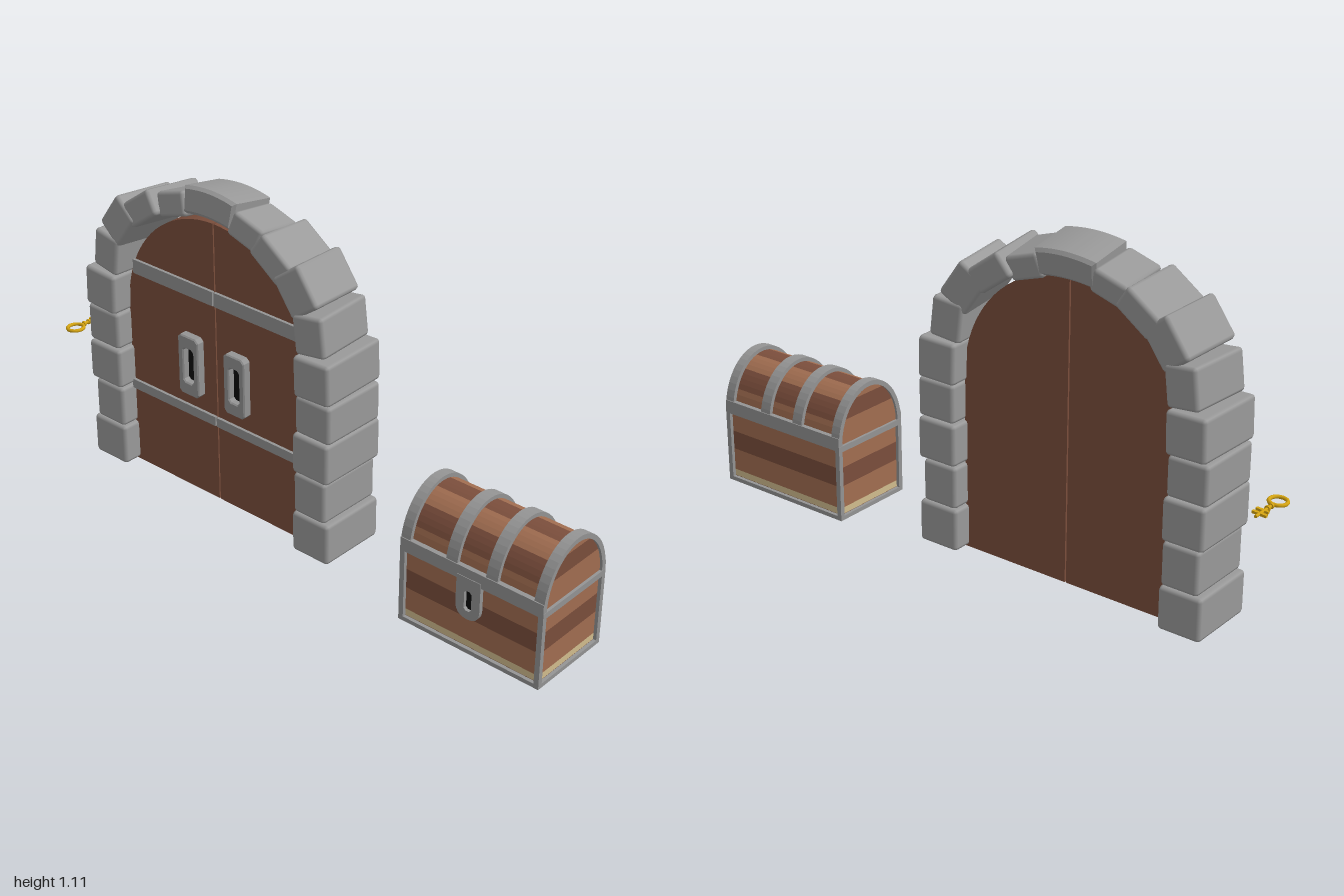
import * as THREE from 'three';
import { RoundedBoxGeometry } from 'three/addons/geometries/RoundedBoxGeometry.js';

const material = (name, color) => {
  const m = new THREE.MeshStandardMaterial({ color });
  m.name = name;
  return m;
};

export function createModel() {
  const root = new THREE.Group();
  root.name = 'dungeonSet';
  const stone = material('stone grey', 0x9a9a9a);
  const metal = material('iron grey', 0x949494);
  const doorWood = material('dark wood', 0x7b4e3c);
  const lightWood = material('light wood', 0xa26e51);
  const cream = material('pale wood', 0xd2bd8e);
  const black = material('black', 0x0c0c0c);
  const gold = material('gold', 0xd6a512);

  const group = (name) => {
    const g = new THREE.Group();
    g.name = name;
    root.add(g);
    return g;
  };
  const add = (parent, name, geo, mat, x = 0, y = 0, z = 0) => {
    const m = new THREE.Mesh(geo, mat);
    m.name = name;
    m.position.set(x, y, z);
    parent.add(m);
    return m;
  };
  const box = (parent, name, mat, w, h, d, x, y, z) =>
    add(parent, name, new THREE.BoxGeometry(w, h, d), mat, x, y, z);
  const extrude = (shape, depth, bevel = 0) =>
    new THREE.ExtrudeGeometry(shape, {
      depth, bevelEnabled: bevel > 0, bevelSize: bevel, bevelThickness: bevel,
      bevelOffset: -bevel, bevelSegments: 1, curveSegments: 16,
    });
  const polygon = (pts) => new THREE.Shape(pts.map(([x, y]) => new THREE.Vector2(x, y)));
  const roundRect = (w, h, c) => polygon([
    [-w / 2 + c, -h / 2], [w / 2 - c, -h / 2], [w / 2, -h / 2 + c], [w / 2, h / 2 - c],
    [w / 2 - c, h / 2], [-w / 2 + c, h / 2], [-w / 2, h / 2 - c], [-w / 2, -h / 2 + c]]);

  // Stone arch: offset from centre, height, radial size, tangent size, depth, lean, flare
  const cx = -0.337;
  const arch = group('stoneArch');
  const blocks = [
    [0.445, 0.095, 0.145, 0.14, 0.24, 0, 0],
    [0.44, 0.237, 0.125, 0.14, 0.235, 0, 0],
    [0.447, 0.38, 0.14, 0.137, 0.247, 0, 0],
    [0.452, 0.514, 0.135, 0.127, 0.235, 0, 0],
    [0.448, 0.648, 0.135, 0.135, 0.25, 0.03, 0.03],
    [0.423, 0.783, 0.11, 0.13, 0.222, 0.12, 0.07],
    [0.365, 0.9, 0.11, 0.14, 0.215, 0.62, 0.11],
    [0.267, 0.968, 0.085, 0.14, 0.21, 0.95, 0.11],
    [0.15, 1.01, 0.08, 0.12, 0.168, 1.27, 0.16],
  ];
  for (const s of [-1, 1]) {
    for (const [dx, y, w, h, d, lean, flare] of blocks) {
      const b = add(arch, 'archStone', new RoundedBoxGeometry(w, h, d, 1, 0.012), stone, cx + s * dx, y, 0);
      b.rotation.set(0, s * flare, s * lean, 'ZYX');
    }
  }
  // Keystone with a slightly curved top and bottom
  const key = new THREE.Shape();
  key.moveTo(-0.1, -0.05);
  key.quadraticCurveTo(0, -0.03, 0.1, -0.05);
  key.lineTo(0.107, 0.036);
  key.quadraticCurveTo(0, 0.06, -0.107, 0.036);
  const keyGeo = extrude(key, 0.146, 0.01);
  keyGeo.translate(0, 0, -0.073);
  add(arch, 'keystone', keyGeo, stone, cx, 1.045, -0.004).rotation.x = -0.18;

  // Double door, each leaf half of an arch
  const door = group('doubleDoor');
  for (const s of [-1, 1]) {
    const pts = [[s * 0.0025, 0.02], [s * 0.385, 0.02]];
    for (let i = 0; i <= 20; i++) {
      const a = (i / 20) * Math.PI / 2;
      pts.push([s * Math.max(0.0025, 0.387 * Math.cos(a)), 0.6 + 0.395 * Math.sin(a)]);
    }
    const leaf = extrude(polygon(pts), 0.11);
    leaf.translate(0, 0, -0.055);
    add(door, 'doorLeaf', leaf, doorWood, cx, 0, 0);
    box(door, 'lowerStrap', metal, 0.378, 0.032, 0.012, cx + s * 0.192, 0.311, 0.059);
    box(door, 'upperStrap', metal, 0.35, 0.048, 0.012, cx + s * 0.178, 0.745, 0.059);
    // Handle plate with a recessed slot
    const plate = roundRect(0.088, 0.21, 0.012);
    plate.holes.push(roundRect(0.042, 0.12, 0.008));
    add(door, 'handlePlate', extrude(plate, 0.024, 0.004), metal, cx + s * 0.099, 0.483, 0.056);
    box(door, 'handleSlot', black, 0.05, 0.13, 0.006, cx + s * 0.099, 0.483, 0.057);
  }
  box(door, 'doorSeam', black, 0.006, 0.95, 0.08, cx, 0.505, 0);

  // Chest body: stacked planks inside an iron frame
  const chest = group('treasureChest');
  const mx = 0.745;
  const planks = [
    [0.004, 0.015, doorWood], [0.015, 0.037, cream], [0.037, 0.113, lightWood],
    [0.113, 0.178, doorWood], [0.178, 0.25, lightWood],
  ];
  for (const [a, b, mat] of planks) {
    box(chest, 'bodyPlank', mat, 0.488, b - a, 0.276, mx, (a + b) / 2, 0);
  }
  for (const s of [-1, 1]) {
    for (const t of [-1, 1]) {
      box(chest, 'cornerPost', metal, 0.017, 0.26, 0.016, mx + s * 0.2465, 0.13, t * 0.142);
    }
    box(chest, 'sideBaseRail', metal, 0.016, 0.014, 0.29, mx + s * 0.247, 0.007, 0);
    box(chest, 'sideTopRail', metal, 0.016, 0.02, 0.298, mx + s * 0.247, 0.25, 0);
    box(chest, 'longBaseRail', metal, 0.5, 0.014, 0.016, mx, 0.007, s * 0.142);
    box(chest, 'longTopRail', metal, 0.508, 0.045, 0.017, mx, 0.2675, s * 0.1415);
  }

  // Lid: wedge planks running along the chest
  const RX = 0.137, RY = 0.172, LY = 0.255;
  const arc = (rx, ry, a, b, n) => Array.from({ length: n + 1 }, (_, i) => {
    const t = a + (b - a) * i / n;
    return [rx * Math.cos(t), ry * Math.sin(t)];
  });
  const along = (shape, length) => {
    const g = extrude(shape, length);
    g.translate(0, 0, -length / 2);
    return g.rotateY(Math.PI / 2);
  };
  for (let i = 0; i < 7; i++) {
    const wedge = polygon([[0, 0], ...arc(RX, RY, i * Math.PI / 7, (i + 1) * Math.PI / 7, 4)]);
    add(chest, 'lidPlank', along(wedge, 0.484), i % 2 ? doorWood : lightWood, mx, LY, 0);
  }
  // Striped lid ends
  const levels = [0, 0.5, 0.84, 1];
  for (let i = 0; i < 3; i++) {
    const a = Math.asin(levels[i]), b = Math.asin(levels[i + 1]);
    const slice = polygon([...arc(RX, RY, a, b, 6), ...arc(RX, RY, Math.PI - b, Math.PI - a, 6)]);
    for (const s of [-1, 1]) {
      add(chest, 'lidEndPlank', along(slice, 0.006), i % 2 ? doorWood : lightWood, mx + s * 0.243, LY, 0);
    }
  }
  // Iron hoops over the lid
  for (const [x, w] of [[0.508, 0.034], [0.676, 0.04], [0.818, 0.04], [0.982, 0.034]]) {
    const hoop = polygon([...arc(0.15, 0.185, 0, Math.PI, 24), ...arc(0.134, 0.169, Math.PI, 0, 24)]);
    add(chest, 'lidHoop', along(hoop, w), metal, x, LY, 0);
  }

  // Lock plate with rounded bottom and keyhole
  const lock = new THREE.Shape();
  lock.moveTo(0.043, 0.11);
  lock.lineTo(-0.043, 0.11);
  lock.lineTo(-0.043, 0.01);
  lock.quadraticCurveTo(-0.04, -0.03, 0, -0.03);
  lock.quadraticCurveTo(0.04, -0.03, 0.043, 0.01);
  const hole = roundRect(0.026, 0.068, 0.007);
  hole.getPoints();
  const shifted = new THREE.Path(hole.getPoints().map((p) => new THREE.Vector2(p.x, p.y + 0.032)));
  lock.holes.push(shifted);
  add(chest, 'lockPlate', extrude(lock, 0.016), metal, 0.742, 0.15, 0.136);
  box(chest, 'keyhole', black, 0.032, 0.075, 0.005, 0.742, 0.182, 0.138);

  // Small key lying flat
  const keyGroup = group('goldKey');
  keyGroup.position.set(-0.967, 0.435, 0);
  keyGroup.rotation.z = 0.05;
  add(keyGroup, 'keyBow', new THREE.TorusGeometry(0.027, 0.006, 8, 20).rotateX(Math.PI / 2), gold, 0, 0, 0.082);
  add(keyGroup, 'keyShaft', new THREE.CylinderGeometry(0.005, 0.005, 0.092, 8).rotateX(Math.PI / 2), gold, 0, 0, 0.006);
  for (const z of [0.044, 0.024]) {
    add(keyGroup, 'keyCollar', new THREE.CylinderGeometry(0.009, 0.009, 0.007, 8).rotateX(Math.PI / 2), gold, 0, 0, z);
  }
  box(keyGroup, 'keyTooth', gold, 0.04, 0.008, 0.01, 0.004, 0, 0.004);
  box(keyGroup, 'keyTooth', gold, 0.046, 0.008, 0.01, 0, 0, -0.018);
  return root;
}
